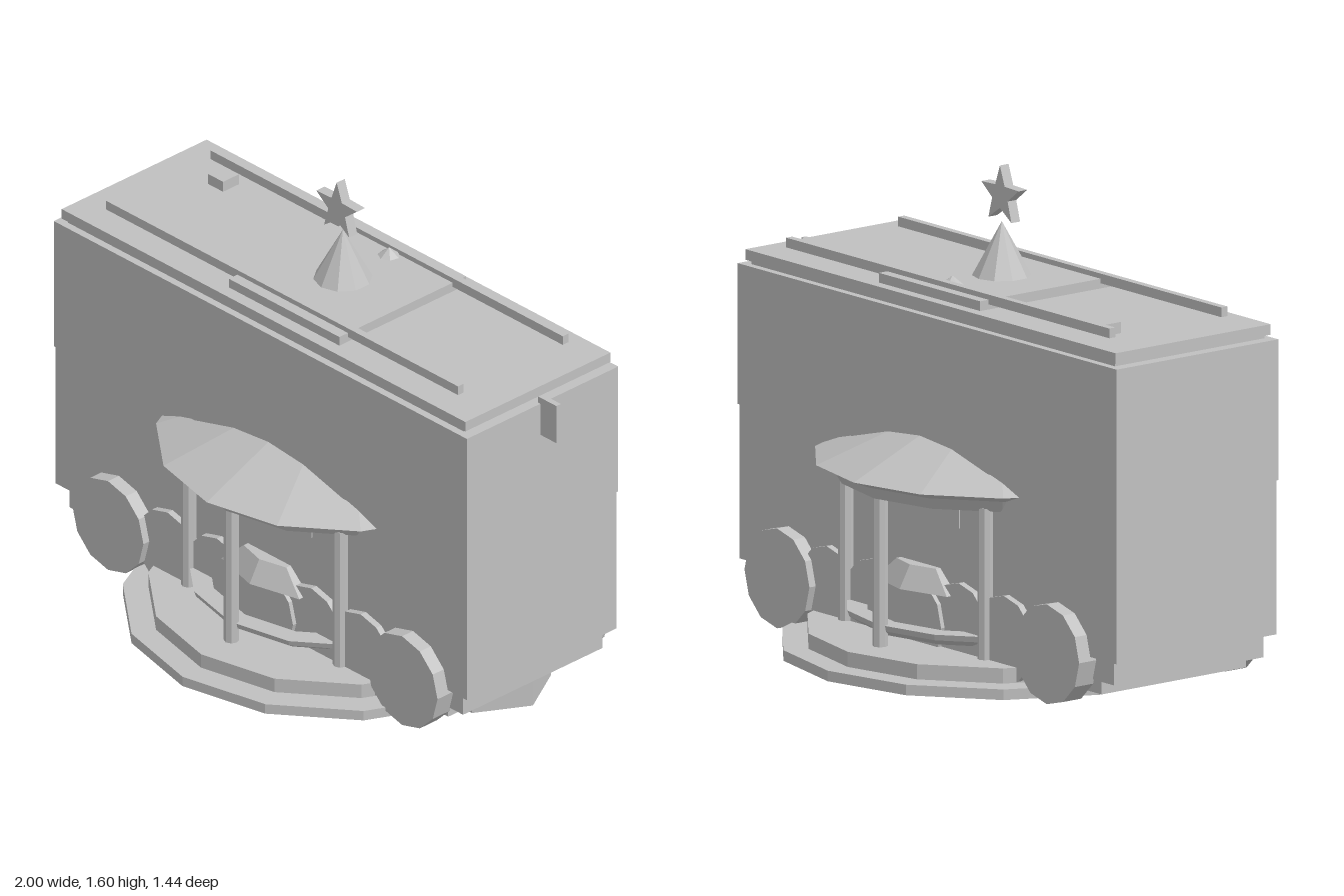
import * as THREE from 'three';

const grey = new THREE.MeshStandardMaterial({ color: 0xc0c0c0, flatShading: true, side: THREE.DoubleSide });
grey.name = 'plain grey';

export function createModel() {
  const model = new THREE.Group();
  model.name = 'pavilionCarriage';

  const add = (name, geometry, x = 0, y = 0, z = 0, parent = model) => {
    const mesh = new THREE.Mesh(geometry, grey);
    mesh.name = name;
    mesh.position.set(x, y, z);
    parent.add(mesh);
    return mesh;
  };
  // Box given by its lower and upper limits on each axis
  const box = (name, x0, x1, y0, y1, z0, z1, parent = model) =>
    add(name, new THREE.BoxGeometry(x1 - x0, y1 - y0, z1 - z0),
      (x0 + x1) / 2, (y0 + y1) / 2, (z0 + z1) / 2, parent);
  const lathe = (name, points, sides) =>
    add(name, new THREE.LatheGeometry(points.map(p => new THREE.Vector2(...p)), sides));
  const cylinder = (r0, r1, h, sides) => new THREE.CylinderGeometry(r1, r0, h, sides);

  // Main body and undercarriage
  box('lowerBody', -0.995, 0.92, 0.18, 0.69, -0.332, 0.332);
  box('upperBody', -1, 0.925, 0.69, 1.155, -0.336, 0.336);
  box('skirt', -0.955, 0.88, 0.1, 0.18, -0.31, 0.31);
  box('undercarriage', -0.88, 0.8, 0.055, 0.1, -0.3, 0.3);

  // Pointed prow under the left end
  const prow = new THREE.Shape([[0.6, -0.175], [0.78, -0.175], [0.88, 0], [0.78, 0.175], [0.6, 0.175]]
    .map(p => new THREE.Vector2(...p)));
  add('prow', new THREE.ExtrudeGeometry(prow, { depth: 0.09, bevelEnabled: false }), 0, 0.1, 0)
    .rotation.x = Math.PI / 2;

  // Roof slabs, rails and fittings
  box('roofSeam', -0.96, 0.885, 1.155, 1.168, -0.31, 0.31);
  box('roofSlab', -0.978, 0.903, 1.168, 1.203, -0.322, 0.322);
  box('roofHatch', -0.245, 0.27, 1.203, 1.235, -0.285, 0.278);
  for (const z of [-0.2375, 0.2275])
    box('roofRail', -0.858, 0.783, 1.22, 1.252, z - 0.0125, z + 0.0125);
  box('roofVent', -0.77, -0.7, 1.2, 1.24, -0.2, -0.13);
  add('smallFinial', new THREE.ConeGeometry(0.04, 0.03, 7), 0, 1.248, -0.2);
  add('spire', new THREE.ConeGeometry(0.098, 0.18, 10), 0, 1.322, 0.005);
  box('signPlate', 0.915, 1, 1.04, 1.178, -0.01, 0.01);

  // Five-pointed star above the spire
  const star = new THREE.Shape(Array.from({ length: 10 }, (_, i) => {
    const r = i % 2 ? 0.041 : 0.0995;
    const a = Math.PI / 2 + i * Math.PI / 5;
    return new THREE.Vector2(r * Math.cos(a), r * Math.sin(a));
  }));
  add('star', new THREE.ExtrudeGeometry(star, { depth: 0.036, bevelEnabled: false }), 0, 1.4975, -0.003);

  // Round platform, canopy and bench, each running through the body
  add('lowerStep', cylinder(0.718, 0.718, 0.035, 14), 0, 0.0175, 0);
  add('upperStep', cylinder(0.635, 0.635, 0.05, 14), 0, 0.06, 0);
  lathe('canopy', [[0.55, 0.615], [0.61, 0.64], [0, 0.895]], 14);
  lathe('canopyBeam', [[0, 0.605], [0.48, 0.605], [0.48, 0.575], [0.525, 0.575], [0.55, 0.615]], 14);
  lathe('benchRing', [[0.44, 0.135], [0.47, 0.115], [0.5, 0.135], [0.507, 0.155], [0.44, 0.155], [0.44, 0.135]], 14);

  // Six posts outside the body
  for (const side of [0, Math.PI])
    for (const turn of [-1, 0, 1]) {
      const a = side + turn * Math.PI / 4;
      add('post', cylinder(0.025, 0.025, 0.5, 8), 0.5 * Math.sin(a), 0.335, 0.5 * Math.cos(a));
    }

  // Wheels, window panels and stall, repeated on both long sides
  for (const turn of [0, Math.PI]) {
    const side = new THREE.Group();
    side.name = turn ? 'backSide' : 'frontSide';
    side.rotation.y = turn;
    model.add(side);
    const flip = turn ? -1 : 1;

    const wheel = (name, x, y, r, depth) => {
      add(name, cylinder(r, r, depth, 12), x * flip, y, 0.305 + depth / 2, side).rotation.x = Math.PI / 2;
    };
    wheel('endWheel', -0.7, 0.167, 0.165, 0.076);
    wheel('endWheel', 0.67, 0.167, 0.165, 0.076);
    for (const x of [-0.45, -0.22, 0.22, 0.45]) wheel('innerWheel', x, 0.165, 0.145, 0.05);

    box('widePanel', -0.305, 0.305, 0.39, 0.575, 0.33, 0.336, side);
    box('narrowPanel', -0.205, 0.205, 0.485, 0.575, 0.334, 0.34, side);

    // Small arched stall with a sloping awning
    wheel('stallArch', 0, 0.15, 0.15, 0.065);
    const awning = new THREE.CylinderGeometry(0.115, 0.21, 0.075, 6, 1, false);
    awning.scale(1, 1, 0.45);
    add('awning', awning, 0, 0.2975, 0.325, side);
  }
  return model;
}
